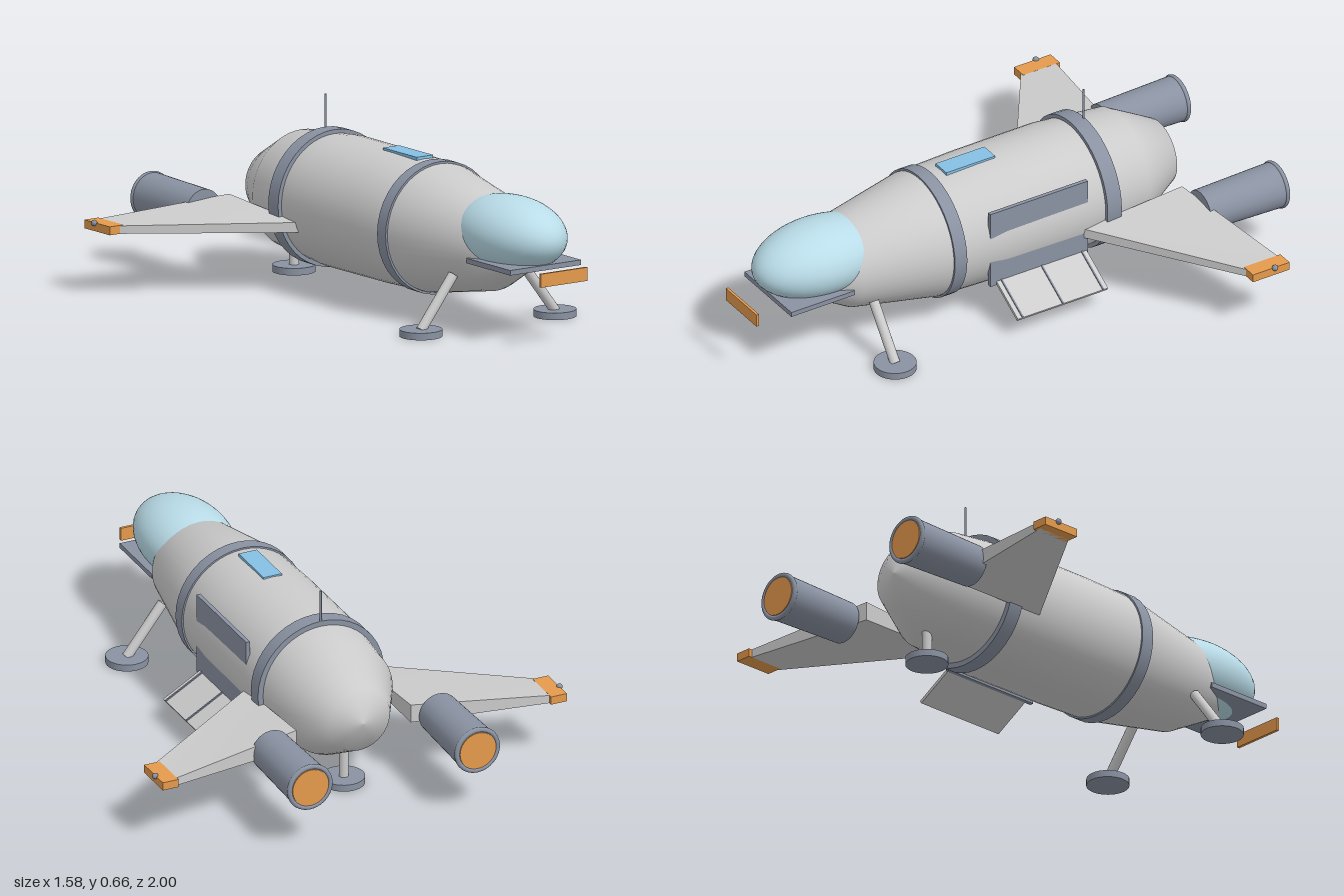
import * as THREE from 'three';

const mat = (color, extra = {}) => new THREE.MeshStandardMaterial({ color, ...extra });

export function createModel() {
  const group = new THREE.Group();
  const grey = mat(0xcccccc);
  const dark = mat(0x8a92a2);
  const orange = mat(0xe59a4c);
  const glass = mat(0xb9dce8);
  const blue = mat(0x86c0e4);

  const add = (name, geo, material, x = 0, y = 0, z = 0) => {
    const m = new THREE.Mesh(geo, material);
    m.name = name;
    m.position.set(x, y, z);
    group.add(m);
    return m;
  };
  const box = (name, w, h, d, material, x, y, z) =>
    add(name, new THREE.BoxGeometry(w, h, d), material, x, y, z);
  // Cylinder along z; the first radius is at the front
  const tubeZ = (name, rFront, rBack, length, material, x, y, z) =>
    add(name, new THREE.CylinderGeometry(rFront, rBack, length, 40).rotateX(Math.PI / 2), material, x, y, z);
  // Round rod between two points
  const rod = (name, a, b, r, material) => {
    const from = new THREE.Vector3(...a), to = new THREE.Vector3(...b);
    const dir = to.clone().sub(from);
    const m = add(name, new THREE.CylinderGeometry(r, r, dir.length(), 16), material);
    m.position.copy(from).add(to).multiplyScalar(0.5);
    m.quaternion.setFromUnitVectors(new THREE.Vector3(0, 1, 0), dir.normalize());
  };

  // Hull: radius and z, from tail to nose
  const profile = [
    [0, -0.75], [0.118, -0.715], [0.211, -0.545], [0.235, -0.28], [0.234, 0.05],
    [0.227, 0.28], [0.167, 0.6], [0.068, 0.78], [0, 0.8],
  ].map(([r, z]) => new THREE.Vector2(r, z));
  add('hull', new THREE.LatheGeometry(profile, 48).rotateX(Math.PI / 2), grey, 0, 0.3, 0);
  tubeZ('frontBand', 0.235, 0.235, 0.05, dark, 0, 0.3, 0.245);
  tubeZ('rearBand', 0.243, 0.243, 0.058, dark, 0, 0.3, -0.38);

  // Cockpit and nose
  add('canopy', new THREE.SphereGeometry(1, 40, 28).scale(0.16, 0.13, 0.26), glass, 0, 0.355, 0.68);
  box('nosePlate', 0.305, 0.018, 0.26, dark, 0, 0.264, 0.76);
  box('noseBumper', 0.2, 0.048, 0.01, orange, 0, 0.248, 0.995);

  // Roof window and aerial
  box('roofWindow', 0.07, 0.014, 0.2, blue, 0, 0.532, 0.08);
  rod('aerial', [0, 0.52, -0.405], [0, 0.66, -0.405], 0.004, dark);

  // Side door with lowered ramp
  box('doorPanel', 0.015, 0.3, 0.4, dark, 0.219, 0.3, -0.08);
  const ramp = new THREE.Group();
  ramp.name = 'ramp';
  ramp.position.set(0.293, 0.12, -0.09);
  ramp.rotation.z = -Math.atan2(0.08, 0.14);
  const deck = new THREE.Mesh(new THREE.BoxGeometry(0.161, 0.012, 0.37), grey);
  deck.name = 'rampDeck';
  ramp.add(deck);
  for (const z of [-0.165, 0, 0.165]) {
    const cleat = new THREE.Mesh(new THREE.BoxGeometry(0.161, 0.004, 0.006), dark);
    cleat.name = 'rampCleat';
    cleat.position.set(0, 0.008, z);
    ramp.add(cleat);
  }
  group.add(ramp);

  // Wing: tapered block, thickest at the rear of the root
  const wing = (side) => {
    const g = new THREE.BoxGeometry(1, 1, 1);
    const p = g.attributes.position;
    for (let i = 0; i < p.count; i++) {
      const tip = p.getX(i) * side > 0, front = p.getZ(i) > 0, top = p.getY(i) > 0;
      const x = tip ? 0.74 : 0.22;
      const z = tip ? (front ? -0.615 : -0.75) : (front ? -0.26 : -0.67);
      const y = !top ? 0.22 : tip ? 0.248 : front ? 0.256 : 0.288;
      p.setXYZ(i, side * x, y, z);
    }
    g.computeVertexNormals();
    return g;
  };

  for (const side of [1, -1]) {
    const label = side > 0 ? 'left' : 'right';
    add(label + 'Wing', wing(side), grey);
    box(label + 'WingTip', 0.06, 0.03, 0.15, orange, side * 0.747, 0.235, -0.685);
    add(label + 'TipLight', new THREE.SphereGeometry(0.011, 16, 12), dark, side * 0.778, 0.249, -0.7);

    // Engine with rear lip and glowing exhaust
    tubeZ(label + 'Engine', 0.075, 0.083, 0.315, dark, side * 0.322, 0.24, -0.8375);
    add(label + 'EngineLip', new THREE.TorusGeometry(0.078, 0.009, 12, 40), dark, side * 0.322, 0.24, -0.99);
    tubeZ(label + 'Exhaust', 0.069, 0.069, 0.008, orange, side * 0.322, 0.24, -0.994);

    // Front landing leg
    rod(label + 'FrontLeg', [side * 0.15, 0.2, 0.55], [side * 0.288, 0.02, 0.55], 0.018, grey);
  }

  // Rear leg and landing pads
  rod('rearLeg', [0, 0.02, -0.59], [0, 0.16, -0.59], 0.017, grey);
  for (const [x, z] of [[0.288, 0.55], [-0.288, 0.55], [0, -0.59]])
    add('landingPad', new THREE.CylinderGeometry(0.075, 0.075, 0.025, 32), dark, x, 0.0125, z);

  return group;
}
